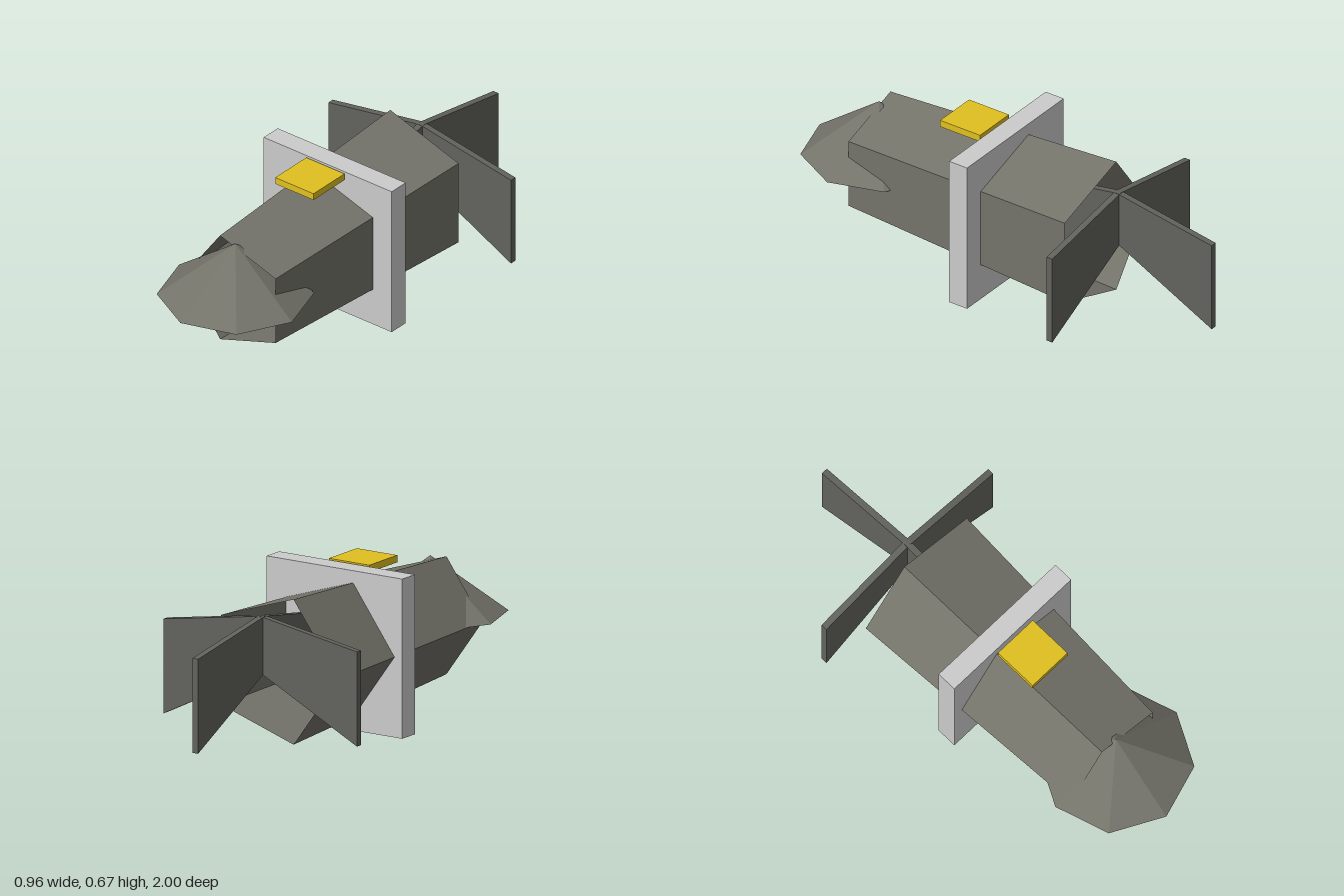
import * as THREE from 'three';

const CY = 0.337; // height of the long axis

function material(color, side = THREE.FrontSide) {
  return new THREE.MeshStandardMaterial({ color, side, flatShading: true });
}

function part(group, name, geometry, mat, x = 0, y = 0, z = 0) {
  const mesh = new THREE.Mesh(geometry, mat);
  mesh.name = name;
  mesh.position.set(x, y, z);
  group.add(mesh);
  return mesh;
}

export function createModel() {
  const group = new THREE.Group();
  group.name = 'finnedBody';

  const hull = material(0x74736a, THREE.DoubleSide);
  const finMat = material(0x62625d);
  const grey = material(0xcccccc);
  const gold = material(0xe0c020);

  // Open five-sided tube, tapering to the front, one ridge pointing to -x
  const tube = new THREE.CylinderGeometry(0.26, 0.32, 1.12, 5, 1, true, -Math.PI / 2);
  tube.rotateX(Math.PI / 2);
  part(group, 'body', tube, hull, 0, CY, 0.12);

  // Open eight-sided cone standing over the front opening
  const cone = new THREE.ConeGeometry(0.32, 0.238, 8, 1, true, -0.09);
  part(group, 'noseCone', cone, hull, 0, 0.339 + 0.119, 0.68);

  // Square plate around the middle and the tab in front of its top edge
  part(group, 'collarPlate', new THREE.BoxGeometry(0.67, 0.67, 0.09), grey, 0, 0.335, 0.04);
  part(group, 'topTab', new THREE.BoxGeometry(0.2, 0.03, 0.2), gold, 0, 0.657, 0.2);

  // Four swept fins radiating from a vertical axis behind the body
  const outline = new THREE.Shape([
    new THREE.Vector2(0, 0.34),
    new THREE.Vector2(0.478, 0.1),
    new THREE.Vector2(0.478, 0.497),
    new THREE.Vector2(0, 0.577),
  ]);
  const fin = new THREE.ExtrudeGeometry(outline, { depth: 0.028, bevelEnabled: false });
  fin.translate(0, 0, -0.014);
  ['finLeft', 'finBack', 'finRight', 'finFront'].forEach((name, i) => {
    part(group, name, fin, finMat, 0, 0, -0.522).rotation.y = (i * Math.PI) / 2;
  });

  return group;
}
